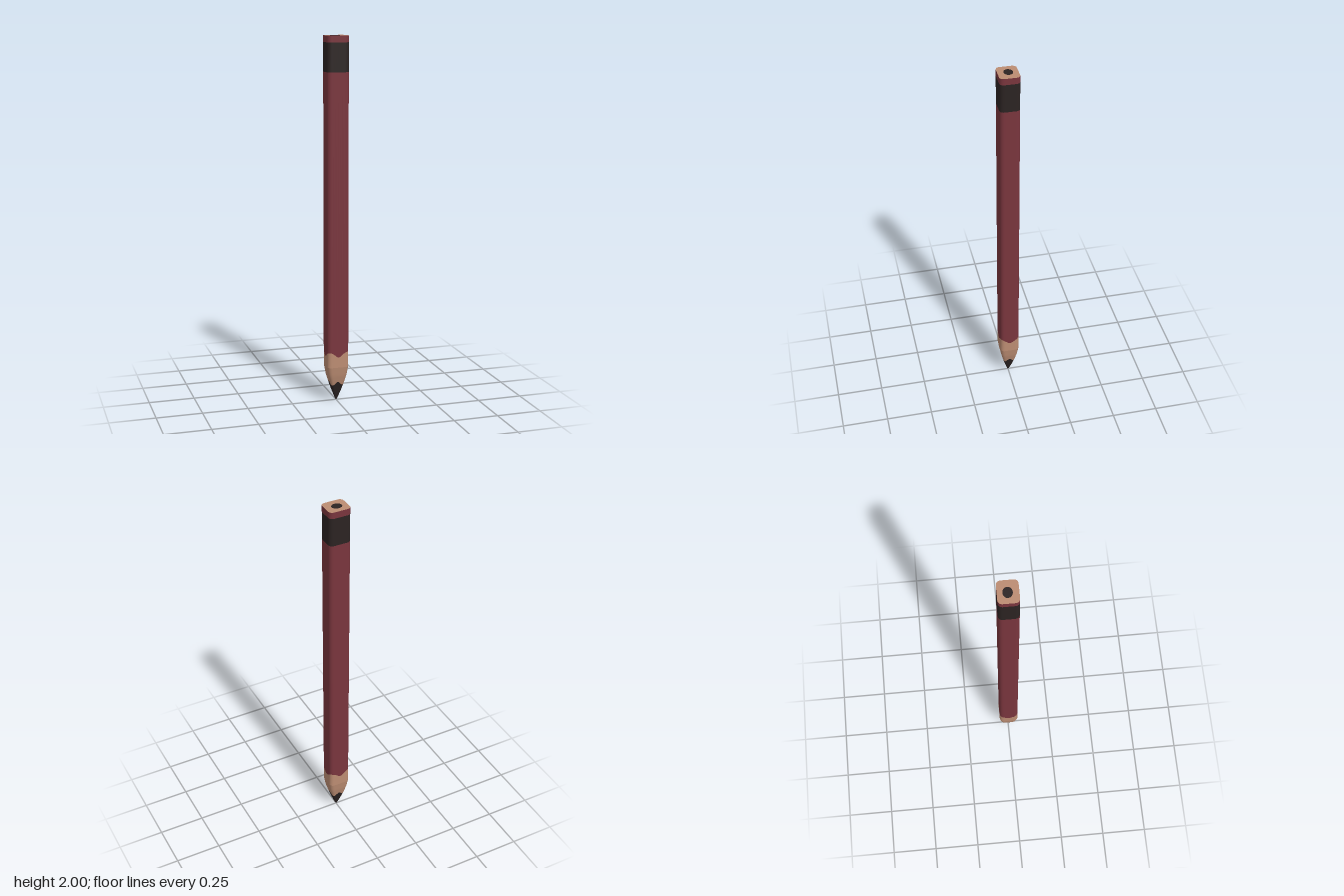
import * as THREE from 'three';

const HALF_W = 0.06, HALF_D = 0.053, CORNER = 0.022;
const SHOULDER = 0.2; // height where the sharpened point begins

const red = new THREE.MeshStandardMaterial({ color: 0x79353d });
const wood = new THREE.MeshStandardMaterial({ color: 0xbb8c72 });
const black = new THREE.MeshStandardMaterial({ color: 0x2b2322 });
red.name = 'maroon paint';
wood.name = 'bare wood';
black.name = 'black';

// Rounded rectangle cross-section, anticlockwise, with extra points along the flats
function outline() {
  const arcs = [[1, 1], [-1, 1], [-1, -1], [1, -1]].map(([sx, sy], k) =>
    Array.from({ length: 6 }, (_, i) => {
      const a = (k + i / 5) * Math.PI / 2;
      return new THREE.Vector2(
        sx * (HALF_W - CORNER) + CORNER * Math.cos(a),
        sy * (HALF_D - CORNER) + CORNER * Math.sin(a));
    }));
  const pts = [];
  arcs.forEach((arc, k) => {
    pts.push(...arc);
    const from = arc[5], to = arcs[(k + 1) % 4][0];
    for (let i = 1; i < 8; i++) pts.push(from.clone().lerp(to, i / 8));
  });
  return pts;
}
const section = outline();

// Width of the point at a given height, as a fraction of the shaft
const taper = [[0, 0], [0.007, 0.08], [0.05, 0.35], [0.1, 0.63], [0.15, 0.86], [SHOULDER, 1]];
function scaleAt(y) {
  for (let i = 1; i < taper.length; i++) {
    const [y0, s0] = taper[i - 1], [y1, s1] = taper[i];
    if (y <= y1) return s0 + (s1 - s0) * (y - y0) / (y1 - y0);
  }
  return 1;
}

// Skin between two edges, each given as height by angle round the pencil
function band(name, material, bottom, top, rows = 1) {
  const n = section.length, pos = [], index = [];
  for (let r = 0; r <= rows; r++) {
    for (const p of section) {
      const a = Math.atan2(p.y, p.x);
      const y = THREE.MathUtils.lerp(bottom(a), top(a), r / rows);
      const s = scaleAt(y);
      pos.push(p.x * s, y, -p.y * s);
    }
  }
  for (let r = 0; r < rows; r++) {
    for (let i = 0; i < n; i++) {
      const j = (i + 1) % n, a = r * n + i, b = r * n + j;
      index.push(a, b, b + n, a, b + n, a + n);
    }
  }
  const g = new THREE.BufferGeometry();
  g.setAttribute('position', new THREE.Float32BufferAttribute(pos, 3));
  g.setIndex(index);
  g.computeVertexNormals();
  const mesh = new THREE.Mesh(g, material);
  mesh.name = name;
  return mesh;
}

// Flat plate on the top end
function endFace(name, material, shape) {
  const mesh = new THREE.Mesh(new THREE.ShapeGeometry(shape, 24), material);
  mesh.name = name;
  mesh.rotation.x = -Math.PI / 2;
  mesh.position.y = 2;
  return mesh;
}

export function createModel() {
  const pencil = new THREE.Group();
  pencil.name = 'pencil';

  // Scalloped edges left by sharpening
  const level = y => () => y;
  const leadEdge = a => 0.103 + 0.011 * Math.cos(4 * a);
  const paintEdge = a => 0.272 - 0.014 * Math.cos(4 * a);

  pencil.add(
    band('leadPoint', black, level(0), leadEdge, 14),
    band('woodCone', wood, leadEdge, level(SHOULDER), 8),
    band('woodCollar', wood, level(SHOULDER), paintEdge),
    band('paintedShaft', red, paintEdge, level(1.81)),
    band('blackBand', black, level(1.81), level(1.965)),
    band('paintedEnd', red, level(1.965), level(2)));

  // Cut end: wood with the lead core showing
  const core = new THREE.Path().absellipse(-0.003, 0.002, 0.028, 0.024, 0, Math.PI * 2, true);
  const end = new THREE.Shape(section);
  end.holes.push(core);
  pencil.add(
    endFace('woodEnd', wood, end),
    endFace('leadCore', black, new THREE.Shape(core.getPoints(24))));
  return pencil;
}
